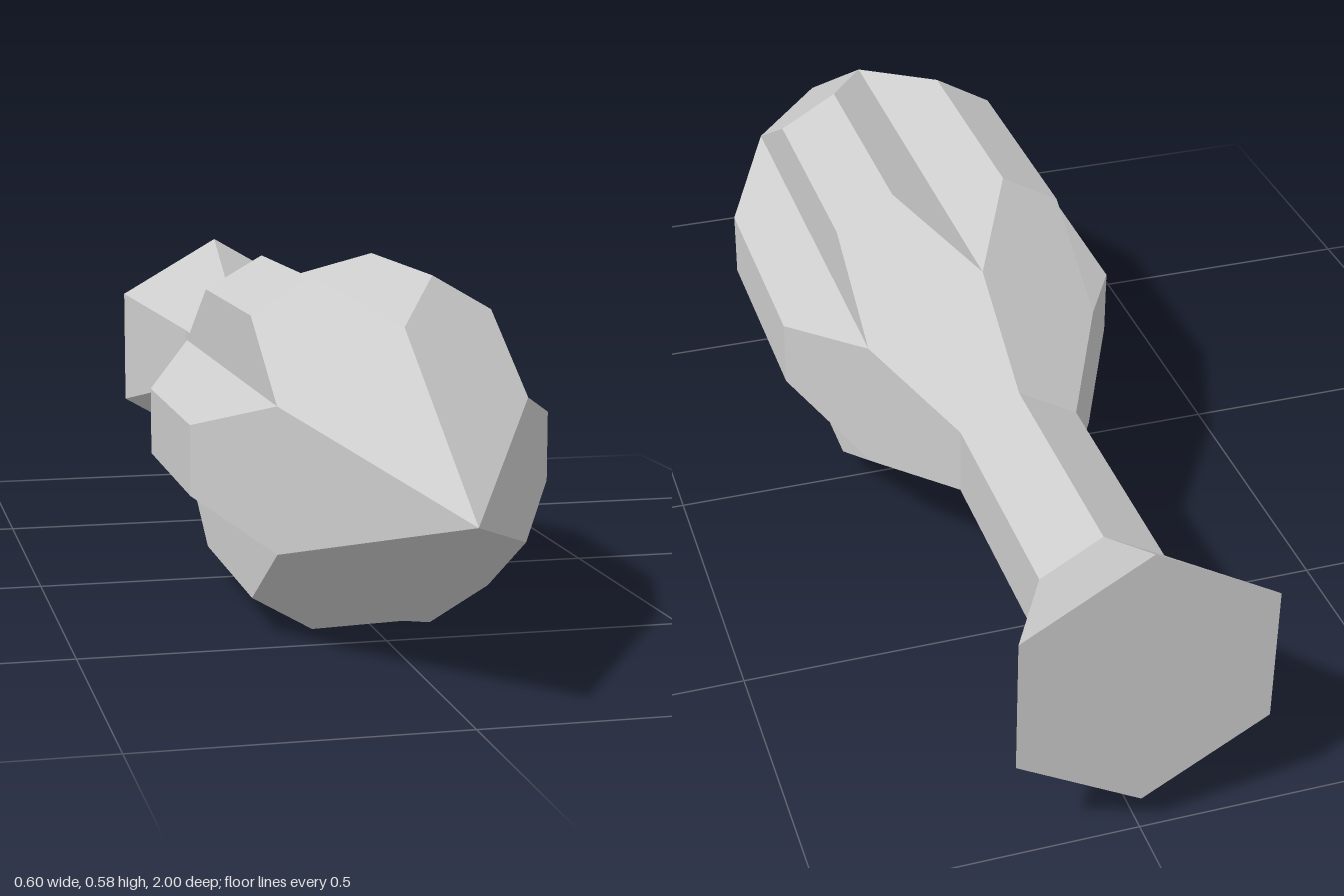
import * as THREE from 'three';

const SIDES = 6;
const TAN = Math.tan(Math.PI / SIDES);
const CENTRE_Y = 0.3 / Math.cos(Math.PI / SIDES) - 0.1 * TAN; // puts the lowest ridge on y = 0

// Local corner [d, t, z]: distance out from the axis, offset along the side, depth.
const hex = (d, s, z) => [d, s * d * TAN, z];          // corner of a plain hexagonal section
const valley = (s, z) => [0.2, s * 0.2 * TAN, z];      // bottom of a groove
const ridge = (s, z) => [0.3, s * 0.1 * TAN, z];       // edge of a raised rib

// Repeats convex faces around the axis, fanned into flat triangles.
function radial(name, faces, material) {
  const positions = [];
  for (let k = 0; k < SIDES; k++) {
    const a = (k * 2 * Math.PI) / SIDES, c = Math.cos(a), s = Math.sin(a);
    const push = ([d, t, z]) => positions.push(d * c - t * s, d * s + t * c, z);
    for (const f of faces) {
      for (let i = 1; i < f.length - 1; i++) [f[0], f[i], f[i + 1]].forEach(push);
    }
  }
  const geometry = new THREE.BufferGeometry();
  geometry.setAttribute('position', new THREE.Float32BufferAttribute(positions, 3));
  geometry.computeVertexNormals();
  const mesh = new THREE.Mesh(geometry, material);
  mesh.name = name;
  mesh.position.y = CENTRE_Y;
  return mesh;
}

// Plain hexagonal tube side from (d0, z0) at the back to (d1, z1) at the front.
const panel = (d0, z0, d1, z1) => [hex(d0, -1, z0), hex(d0, 1, z0), hex(d1, 1, z1), hex(d1, -1, z1)];

export function createModel() {
  const grey = new THREE.MeshStandardMaterial({ color: 0xcccccc });
  grey.name = 'grey';
  grey.flatShading = true;

  const group = new THREE.Group();
  group.name = 'flutedDart';

  // Pointed nose whose facets run out onto the ribs
  group.add(radial('nose', [
    [[0, 0, 1], valley(-1, 0.6), ridge(-1, 0.4), ridge(1, 0.4), valley(1, 0.6)],
  ], grey));

  // Flat outer faces of the six ribs
  group.add(radial('ribs', [
    [ridge(-1, 0), ridge(1, 0), ridge(1, 0.4), ridge(-1, 0.4)],
  ], grey));

  // Sloping walls of the grooves between ribs
  group.add(radial('grooves', [
    [valley(1, -0.2), valley(1, 0.6), ridge(1, 0.4), ridge(1, 0)],
    [ridge(-1, 0), ridge(-1, 0.4), valley(-1, 0.6), valley(-1, -0.2)],
  ], grey));

  // Taper from the ribs down to the neck
  group.add(radial('rearTaper', [
    [hex(0.1, -1, -0.4), hex(0.1, 1, -0.4), valley(1, -0.2), ridge(1, 0), ridge(-1, 0), valley(-1, -0.2)],
  ], grey));

  // Neck, flared tail and its closed end
  group.add(radial('neck', [panel(0.1, -0.8, 0.1, -0.4)], grey));
  group.add(radial('tailFlare', [panel(0.2, -1, 0.1, -0.8)], grey));
  group.add(radial('tailCap', [[[0, 0, -1], hex(0.2, 1, -1), hex(0.2, -1, -1)]], grey));

  return group;
}
